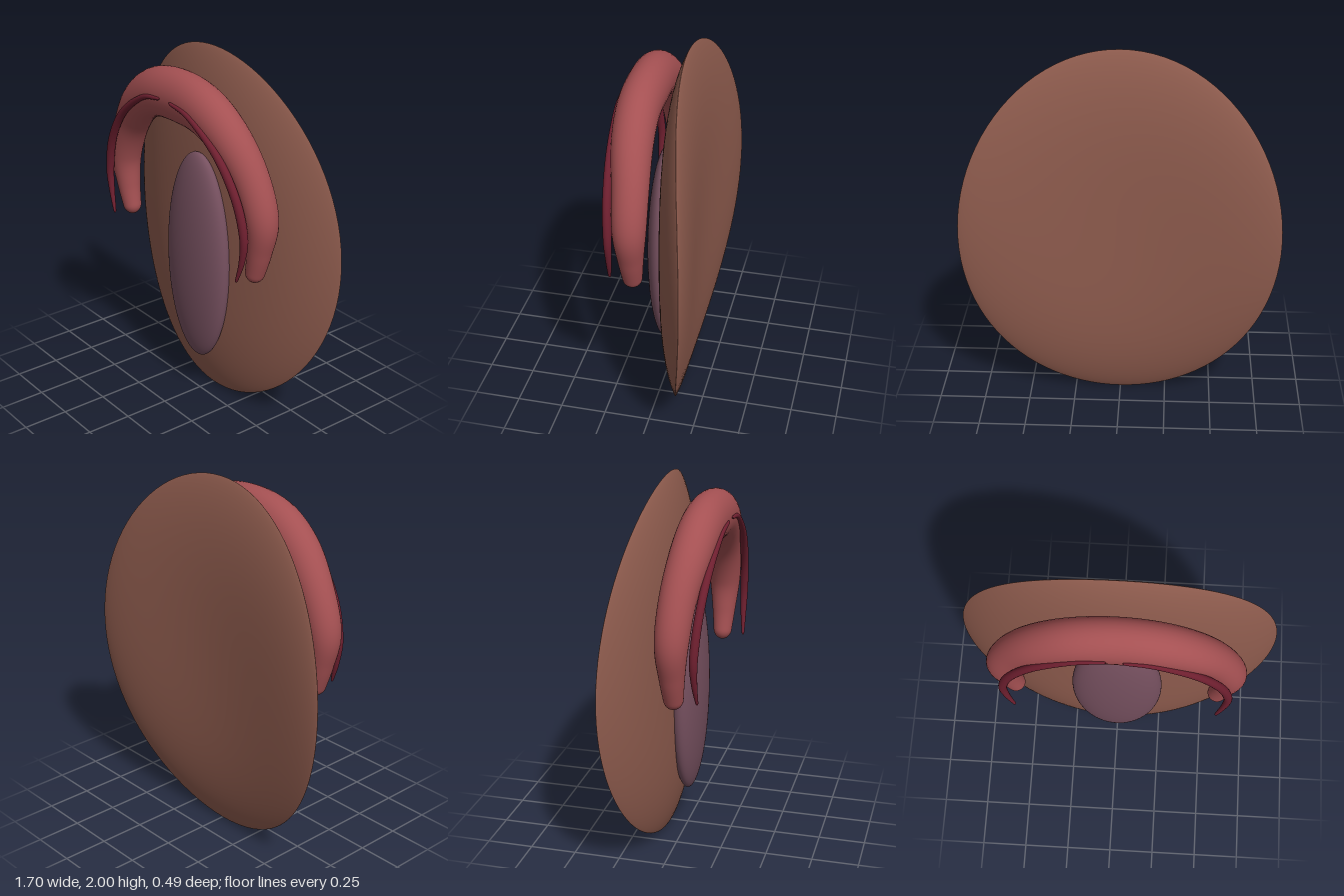
import * as THREE from 'three';
import { mergeVertices } from 'three/addons/utils/BufferGeometryUtils.js';

const material = (name, color) => {
  const m = new THREE.MeshStandardMaterial({ color });
  m.name = name;
  return m;
};

// Sphere with its poles on z, every vertex moved by a rule, smooth shaded
function shapedSphere(rule) {
  let geo = new THREE.SphereGeometry(1, 96, 64).rotateX(Math.PI / 2);
  const pos = geo.attributes.position, v = new THREE.Vector3();
  for (let i = 0; i < pos.count; i++) {
    rule(v.fromBufferAttribute(pos, i));
    pos.setXYZ(i, v.x, v.y, v.z);
  }
  geo.deleteAttribute('uv');
  geo.deleteAttribute('normal');
  geo = mergeVertices(geo, 1e-5);
  geo.computeVertexNormals();
  return geo;
}

// Sweep of an ellipse along stations [x, y, z, half width, half depth], rounded at the tips
function taperedSweep(stations, cap, rings = 96, sides = 32) {
  const path = new THREE.CatmullRomCurve3(stations.map(s => new THREE.Vector3(s[0], s[1], s[2])), false, 'catmullrom');
  const size = new THREE.CatmullRomCurve3(stations.map(s => new THREE.Vector3(s[3], s[4], 0)), false, 'catmullrom');
  const verts = [], index = [];
  for (let i = 0; i <= rings; i++) {
    const t = (1 - Math.cos(Math.PI * i / rings)) / 2;
    const d = Math.min(1, Math.min(t, 1 - t) / cap);
    const round = Math.max(0.002, Math.sqrt(Math.max(0, 1 - (1 - d) ** 2)));
    const p = path.getPoint(t), r = size.getPoint(t), T = path.getTangent(t);
    const B = new THREE.Vector3(0, 0, 1).addScaledVector(T, -T.z).normalize();
    const N = new THREE.Vector3().crossVectors(B, T);
    for (let j = 0; j < sides; j++) {
      const a = 2 * Math.PI * j / sides;
      const q = p.clone().addScaledVector(N, Math.cos(a) * r.x * round).addScaledVector(B, Math.sin(a) * r.y * round);
      verts.push(q.x, q.y, q.z);
      if (i < rings) {
        const k = (j + 1) % sides, o = i * sides, n = o + sides;
        index.push(o + j, o + k, n + k, o + j, n + k, n + j);
      }
    }
  }
  const geo = new THREE.BufferGeometry();
  geo.setAttribute('position', new THREE.Float32BufferAttribute(verts, 3));
  geo.setIndex(index);
  geo.computeVertexNormals();
  return geo;
}

const mirrorX = s => [-s[0], ...s.slice(1)];

export function createModel() {
  const group = new THREE.Group();
  const add = (name, geo, mat) => {
    const mesh = new THREE.Mesh(geo, mat);
    mesh.name = name;
    group.add(mesh);
  };
  const brown = material('clay brown', 0x8f5c4e);
  const red = material('soft red', 0xa45052);
  const darkRed = material('dark red', 0x6e1f2f);
  const mauve = material('dusky mauve', 0x76505f);

  // Oval back plate: thin at the rim, sides bent backwards
  add('backPlate', shapedSphere(v => {
    const r = Math.min(1, Math.hypot(v.x, v.y));
    const half = 0.098 * Math.pow(1 - r ** 4, 0.85);
    v.set(v.x * 0.85, 1 + v.y, -0.1 + Math.sign(v.z) * half - 0.14 * v.x * v.x);
  }), brown);

  // Long oval pad on the front
  add('centrePad', shapedSphere(v => v.set(v.x * 0.245, 0.835 + v.y * 0.608, 0.01 + v.z * 0.095)), mauve);

  // Thick arch, tapering to both ends
  const half = [
    [0.2, 1.745, 0.112, 0.132, 0.11],
    [0.37, 1.645, 0.1, 0.116, 0.105],
    [0.505, 1.48, 0.078, 0.1, 0.094],
    [0.585, 1.28, 0.068, 0.09, 0.086],
    [0.572, 1.1, 0.066, 0.066, 0.066],
    [0.53, 0.92, 0.066, 0.046, 0.046],
  ];
  const top = [0, 1.77, 0.112, 0.14, 0.112];
  add('arch', taperedSweep([...half.map(mirrorX).reverse(), top, ...half], 0.022), red);

  // Slim crescents lying along the front of the arch
  const crescent = [
    [0.04, 1.772, 0.228, 0.008, 0.008],
    [0.2, 1.735, 0.222, 0.015, 0.014],
    [0.4, 1.595, 0.207, 0.021, 0.02],
    [0.53, 1.41, 0.192, 0.024, 0.022],
    [0.584, 1.22, 0.18, 0.023, 0.022],
    [0.574, 1.08, 0.18, 0.016, 0.016],
    [0.538, 0.952, 0.187, 0.007, 0.007],
  ];
  add('leftCrescent', taperedSweep(crescent, 0.02, 64, 20), darkRed);
  add('rightCrescent', taperedSweep(crescent.map(mirrorX), 0.02, 64, 20), darkRed);

  return group;
}
